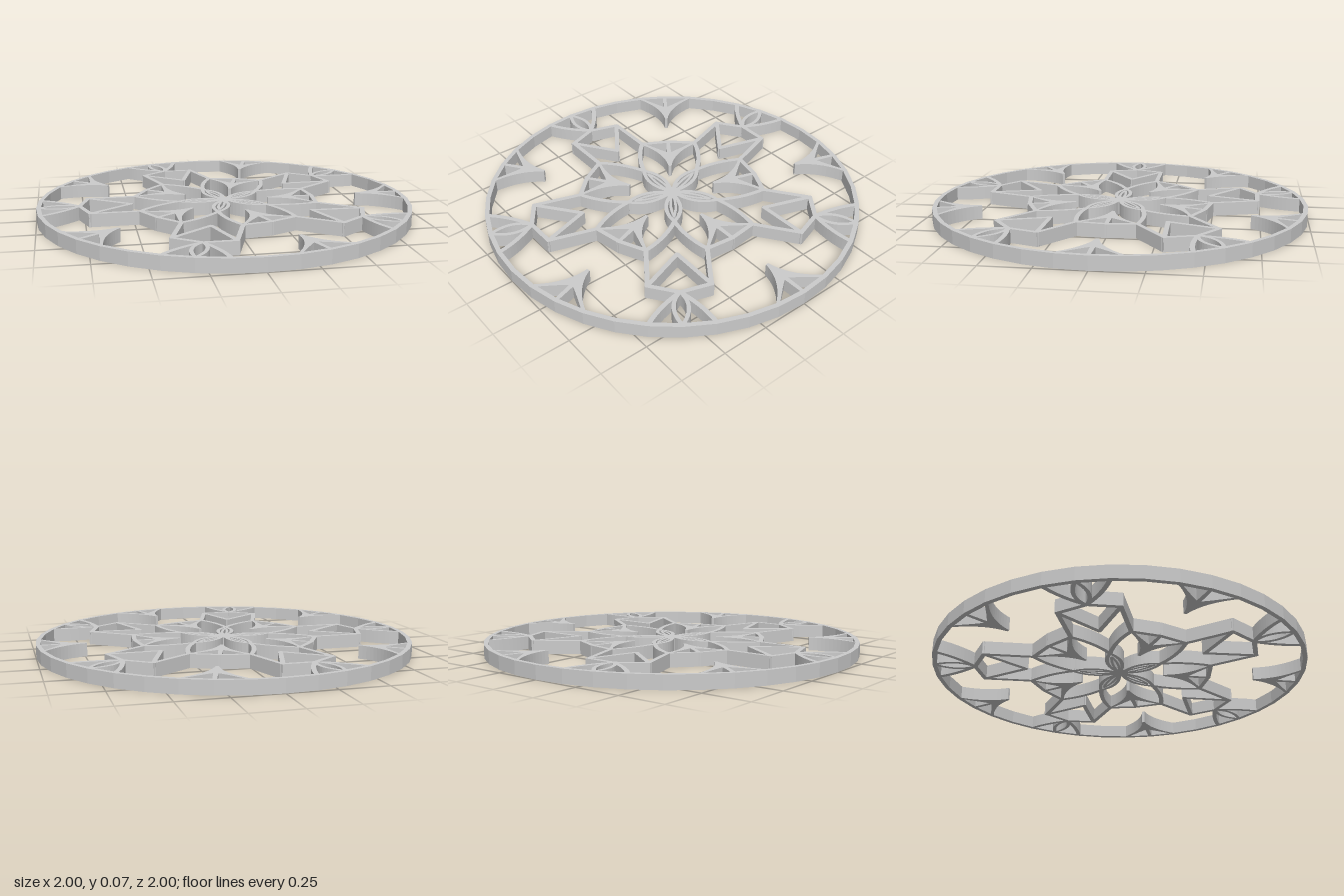
import * as THREE from 'three';

const H = 0.07, W = 0.024, R = 0.988;
const STEP = Math.PI / 20; // 9 degrees
const material = new THREE.MeshStandardMaterial({ color: 0xcccccc, side: THREE.DoubleSide });
const V = (x, y) => new THREE.Vector2(x, y);
const flip = (p) => V(p.x, -p.y);

// Extrudes a plan shape upward from y = 0
function plate(name, shape) {
  const geo = new THREE.ExtrudeGeometry(shape, { depth: H, bevelEnabled: false, curveSegments: 10 });
  geo.rotateX(-Math.PI / 2);
  const mesh = new THREE.Mesh(geo, material);
  mesh.name = name;
  return mesh;
}

// Samples a quadratic curve, or a straight line when no control is given
function path(a, b, control) {
  return control ? new THREE.QuadraticBezierCurve(a, control, b).getPoints(12) : [a, b];
}

// Constant-width wall following a path, slightly overrun at both ends
function wall(name, pts, width = W) {
  const left = [], right = [], last = pts.length - 1;
  pts.forEach((p, i) => {
    const d = pts[Math.min(i + 1, last)].clone().sub(pts[Math.max(i - 1, 0)]).normalize();
    const q = p.clone().addScaledVector(d, i === 0 ? -width * 0.3 : i === last ? width * 0.3 : 0);
    const n = V(-d.y, d.x).multiplyScalar(width / 2);
    left.push(q.clone().add(n));
    right.push(q.clone().sub(n));
  });
  return plate(name, new THREE.Shape([...left, ...right.reverse()]));
}

// A wall and its mirror image across the sector axis
function pair(group, name, a, b, control, width) {
  const pts = path(a, b, control);
  group.add(wall(name, pts, width), wall(name, pts.map(flip), width));
}

// Solid three-pronged blade pointing at the centre
function trident(name, tip, bend, wing, crotch, end) {
  const half = [
    ...path(V(tip, 0.008), wing, bend),
    ...path(V(wing.x + 0.008, wing.y - 0.018), V(crotch, 0.012),
      V(crotch + 0.025, 0.05)),
    V(end, 0.01),
  ];
  return plate(name, new THREE.Shape([...half, ...half.map(flip).reverse()]));
}

// Sector with a petal, an arrow and an eye-shaped lens
function arrowSector() {
  const g = new THREE.Group();
  g.name = 'arrowSector';
  const shoulder = V(0.47, 0.153), barb = V(0.725, 0.153), neck = V(0.775, 0);
  pair(g, 'petalEdge', V(0.01, 0), V(0.25, 0), V(0.14, 0.075), 0.02);
  pair(g, 'petalVein', V(0.01, 0), V(0.21, 0), V(0.12, 0.026), 0.014);
  pair(g, 'petalBranch', V(0.25, 0), shoulder, V(0.38, 0.05));
  pair(g, 'arrowSide', shoulder, barb);
  pair(g, 'arrowNotch', barb, V(0.505, 0));
  pair(g, 'arrowTop', barb, neck);
  pair(g, 'rimBranch', neck, V(R * Math.cos(STEP), R * Math.sin(STEP)), V(0.87, 0.105));
  pair(g, 'lensEdge', neck, V(R, 0), V(0.87, 0.07), 0.02);
  return g;
}

// Sector with an inner and an outer trident
function tridentSector() {
  const g = new THREE.Group();
  g.name = 'tridentSector';
  pair(g, 'innerRingSide', V(0.488, 0), V(0.47, 0.153));
  g.add(trident('innerTrident', 0.24, V(0.37, 0.025), V(0.46, 0.153), 0.38, 0.49));
  g.add(trident('outerTrident', 0.74, V(0.87, 0.03), V(0.968, 0.16), 0.875, R));
  return g;
}

export function createModel() {
  const model = new THREE.Group();
  model.name = 'rosettePanel';

  // Faceted outer rim
  const ring = (r) => Array.from({ length: 40 }, (_, i) => V(r * Math.cos(i * STEP), r * Math.sin(i * STEP)));
  const rim = new THREE.Shape(ring(R + W / 2));
  rim.holes.push(new THREE.Path(ring(R - W / 2)));
  model.add(plate('rim', rim));

  // Central hub
  model.add(plate('hub', new THREE.Shape(ring(0.045))));

  // Alternating sectors around the centre
  for (let i = 0; i < 5; i++) {
    const tri = tridentSector(), arrow = arrowSector();
    tri.rotation.y = (i * 2 * Math.PI) / 5;
    arrow.rotation.y = ((i * 2 + 1) * Math.PI) / 5;
    model.add(tri, arrow);
  }
  return model;
}
